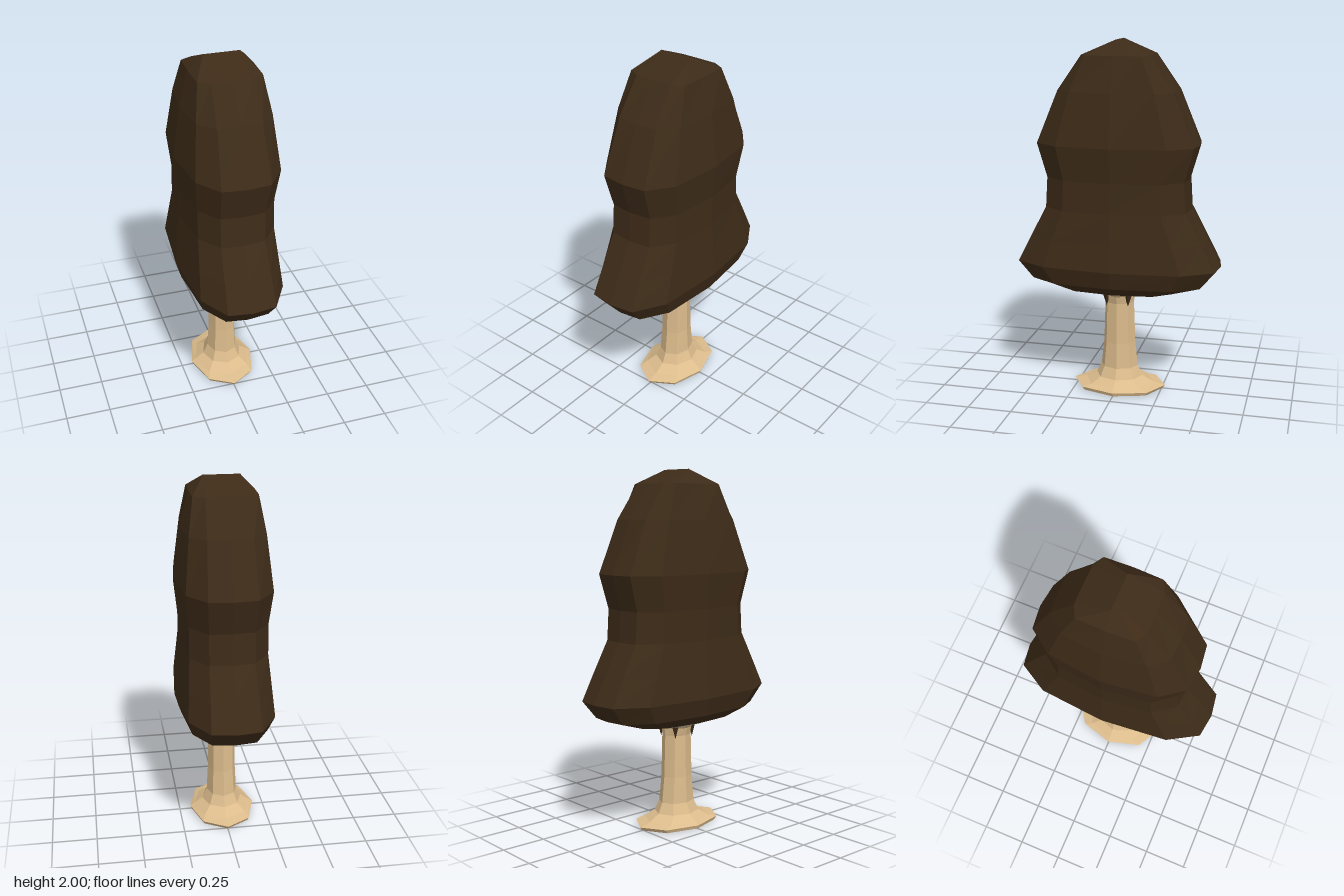
import * as THREE from 'three';

const paint = (color) => new THREE.MeshStandardMaterial({ color, flatShading: true, side: THREE.DoubleSide });

// Unit cross-section of the crown (quarter, front to side); boxy squares it off
function crownSection(boxy = 0) {
  const mix = (a, b) => a + (b - a) * boxy;
  const q = [[0, 1], [mix(0.5, 0.62), mix(0.965, 0.99)], [mix(0.87, 0.97), mix(0.67, 0.82)]];
  const half = [...q, [1, 0], ...q.slice(1).reverse().map(([x, z]) => [x, -z])];
  return [...half, ...half.map(([x, z]) => [-x, -z])];
}

function roundSection(n) {
  return Array.from({ length: n }, (_, i) => {
    const a = (i / n) * Math.PI * 2;
    return [Math.sin(a), Math.cos(a)];
  });
}

// Skin a stack of rings [y, halfX, halfZ, boxy], bottom to top
function loft(rings, section, capBottom = false) {
  const pos = [], index = [];
  let n = 0;
  for (const [y, hx, hz, boxy] of rings) {
    const s = section(boxy);
    n = s.length;
    for (const [x, z] of s) pos.push(x * hx, y, z * hz);
  }
  for (let i = 0; i < rings.length - 1; i++) {
    for (let j = 0; j < n; j++) {
      const k = (j + 1) % n, a = i * n + j, b = i * n + k;
      index.push(a, b, b + n, a, b + n, a + n);
    }
  }
  if (capBottom) for (let j = 1; j < n - 1; j++) index.push(0, j + 1, j);
  const g = new THREE.BufferGeometry();
  g.setAttribute('position', new THREE.Float32BufferAttribute(pos, 3));
  g.setIndex(index);
  g.computeVertexNormals();
  return g;
}

export function createModel() {
  const model = new THREE.Group();
  model.name = 'tree';
  const add = (name, geometry, material, parent = model) => {
    const mesh = new THREE.Mesh(geometry, material);
    mesh.name = name;
    parent.add(mesh);
    return mesh;
  };
  const dark = paint(0x3d2b18), wood = paint(0xdcbc8c), grey = paint(0xcccccc);

  // Crown: bulging skirt, waist, upper bulge, closing in a short ridge
  add('crown', loft([
    [0.61, 0.19, 0.33, 0],
    [0.66, 0.24, 0.495, 0],
    [0.76, 0.27, 0.578, 0],
    [0.91, 0.258, 0.5, 0],
    [1.08, 0.245, 0.408, 0],
    [1.25, 0.245, 0.397, 0],
    [1.44, 0.266, 0.452, 0],
    [1.73, 0.228, 0.328, 0.2],
    [1.92, 0.178, 0.188, 1],
    [2.0, 0.1, 0, 1],
  ], crownSection), dark);

  // Underside: shallow dish around the trunk
  add('crownUnderside', loft([
    [0.575, 0.07, 0.07, 0],
    [0.58, 0.1, 0.11, 0],
    [0.61, 0.19, 0.33, 0],
  ], crownSection), grey);

  // Trunk with flared foot and flared neck
  add('trunk', loft([
    [0, 0.18, 0.255],
    [0.02, 0.188, 0.27],
    [0.035, 0.165, 0.2],
    [0.07, 0.115, 0.135],
    [0.13, 0.088, 0.108],
    [0.28, 0.08, 0.092],
    [0.52, 0.078, 0.084],
    [0.565, 0.09, 0.09],
    [0.59, 0.12, 0.11],
  ], () => roundSection(8), true), wood);

  // Dark pointed gussets hanging around the neck
  const gussets = new THREE.Group();
  gussets.name = 'neckGussets';
  model.add(gussets);
  for (const sx of [-1, 1]) for (const sz of [-1, 1]) {
    const spike = add('neckGusset', new THREE.ConeGeometry(0.028, 0.085, 4), dark, gussets);
    spike.rotation.x = Math.PI;
    spike.position.set(sx * 0.062, 0.548, sz * 0.062);
  }
  return model;
}
